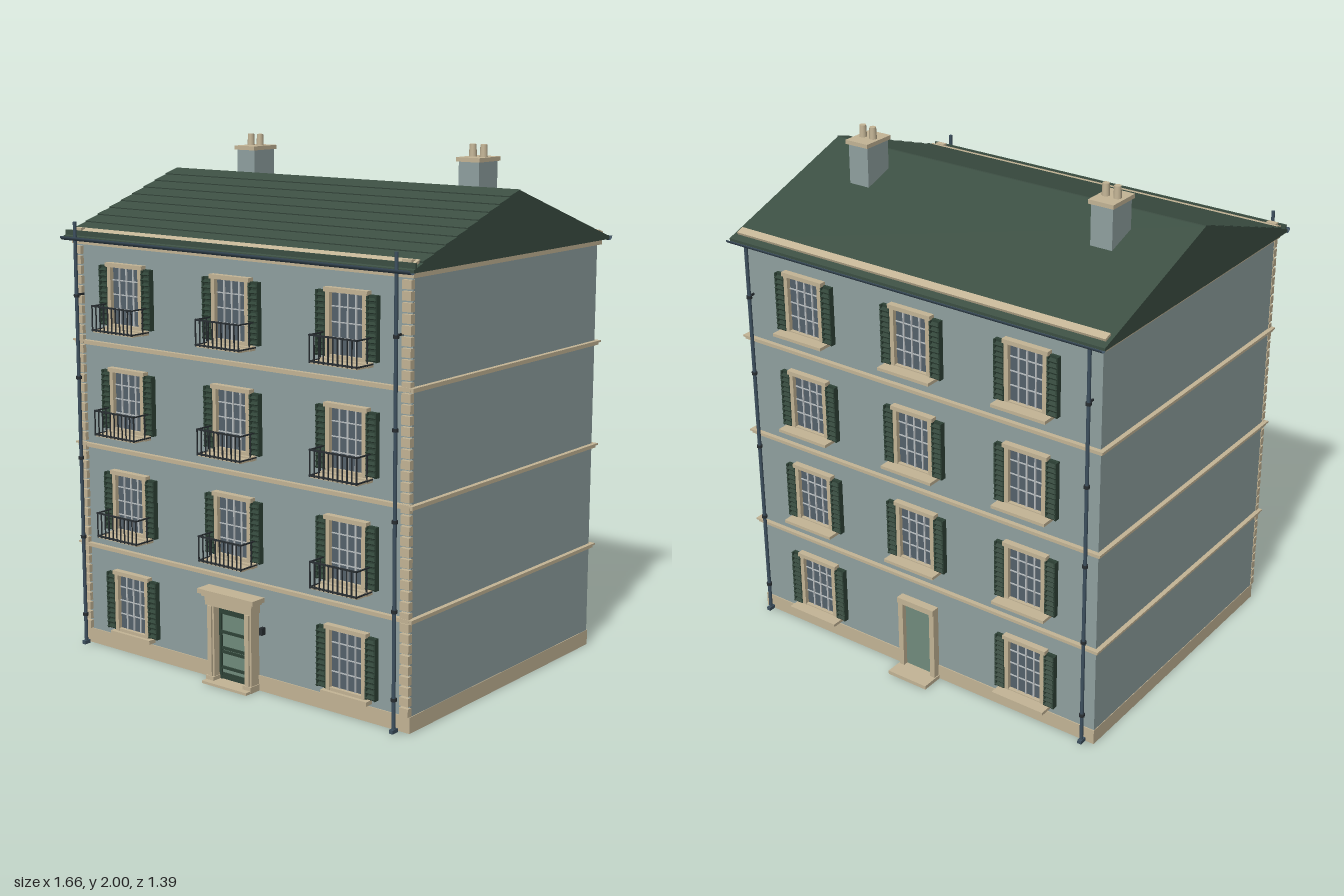
import * as THREE from 'three';

const mat = (name, color, side = THREE.FrontSide) => {
  const m = new THREE.MeshStandardMaterial({ color, side });
  m.name = name;
  return m;
};
const M = {
  wall: mat('wall blue grey', 0x90a1a0),
  stone: mat('cream stone', 0xc4b596),
  roof: mat('roof green', 0x3c4f43),
  shutter: mat('shutter green', 0x2f4337),
  iron: mat('dark iron', 0x292f33),
  gutter: mat('slate gutter', 0x3e5160, THREE.DoubleSide),
  glass: mat('window glass', 0x55626c),
  bar: mat('pale glazing bar', 0xb9bec0),
  door: mat('door green', 0x718c7d),
};

function add(parent, name, geo, material, x = 0, y = 0, z = 0) {
  const mesh = new THREE.Mesh(geo, material);
  mesh.name = name;
  mesh.position.set(x, y, z);
  parent.add(mesh);
  return mesh;
}
// Box given by its centre x, its bottom y and its back z
const box = (p, name, m, w, h, d, x, y, z) =>
  add(p, name, new THREE.BoxGeometry(w, h, d), m, x, y + h / 2, z + d / 2);

function group(parent, name, x, y, z, turn = 0) {
  const g = new THREE.Group();
  g.name = name;
  g.position.set(x, y, z);
  g.rotation.y = turn;
  parent.add(g);
  return g;
}

// Window with frame, glazing bars and a pair of louvred shutters; faces +z
function makeWindow(parent, name, x, y, z, turn) {
  const g = group(parent, name, x, y, z, turn);
  box(g, 'glass', M.glass, 0.16, 0.23, 0.005, 0, 0.022, 0);
  for (const s of [-1, 1]) {
    box(g, 'frameSide', M.stone, 0.017, 0.235, 0.022, s * 0.08, 0.018, 0);
    const sx = s * 0.111;
    box(g, 'shutterPanel', M.shutter, 0.044, 0.23, 0.012, sx, 0.02, 0);
    for (const e of [-1, 1]) box(g, 'shutterStile', M.shutter, 0.006, 0.23, 0.022, sx + e * 0.019, 0.02, 0);
    for (let i = 0; i < 11; i++) {
      const slat = box(g, 'shutterSlat', M.shutter, 0.042, 0.004, 0.018, sx, 0.028 + i * 0.0205, 0.008);
      slat.rotation.x = 0.5;
    }
  }
  box(g, 'frameTop', M.stone, 0.19, 0.016, 0.026, 0, 0.247, 0);
  box(g, 'frameBottom', M.stone, 0.16, 0.012, 0.02, 0, 0.016, 0);
  for (const bx of [-0.036, 0, 0.036]) box(g, 'glazingBar', M.bar, 0.006, 0.22, 0.009, bx, 0.027, 0.001);
  for (const by of [0.085, 0.14, 0.195]) box(g, 'crossBar', M.bar, 0.146, 0.004, 0.008, 0, by, 0.001);
  return g;
}

// Iron balcony railing on a thin slab
function makeBalcony(g) {
  box(g, 'balconySlab', M.stone, 0.208, 0.008, 0.088, 0, 0.002, 0);
  for (const y of [0.008, 0.1]) {
    box(g, 'frontRail', M.iron, 0.21, 0.006, 0.006, 0, y, 0.088);
    for (const s of [-1, 1]) box(g, 'sideRail', M.iron, 0.005, 0.005, 0.09, s * 0.103, y, 0);
  }
  for (let i = 0; i < 11; i++)
    box(g, 'baluster', M.iron, 0.004, 0.1, 0.004, -0.103 + i * 0.0206, 0.005, 0.089);
  for (const s of [-1, 1]) box(g, 'sideBaluster', M.iron, 0.004, 0.1, 0.004, s * 0.103, 0.005, 0.03);
}

function makeFrontDoor(house) {
  const g = group(house, 'frontDoor', 0, 0, 0.6);
  box(g, 'doorLeaf', M.door, 0.15, 0.3, 0.008, 0, 0.01, 0);
  box(g, 'transom', M.shutter, 0.15, 0.035, 0.016, 0, 0.267, 0);
  for (const y of [0.012, 0.05, 0.112, 0.127, 0.19]) box(g, 'doorRail', M.shutter, 0.14, 0.011, 0.014, 0, y, 0);
  box(g, 'kickPlate', M.shutter, 0.14, 0.025, 0.012, 0, 0.01, 0);
  for (const s of [-1, 1]) {
    box(g, 'doorStile', M.shutter, 0.011, 0.28, 0.016, s * 0.07, 0.01, 0);
    box(g, 'pilaster', M.stone, 0.034, 0.33, 0.045, s * 0.092, 0, 0);
    box(g, 'pilasterFace', M.stone, 0.018, 0.28, 0.052, s * 0.092, 0.02, 0);
    box(g, 'pilasterBase', M.stone, 0.04, 0.025, 0.054, s * 0.092, 0, 0);
  }
  box(g, 'lintel', M.stone, 0.23, 0.04, 0.05, 0, 0.302, 0);
  box(g, 'cornice', M.stone, 0.274, 0.018, 0.068, 0, 0.347, 0);
  box(g, 'corniceUnderside', M.stone, 0.25, 0.01, 0.06, 0, 0.337, 0);
  box(g, 'doorStep', M.stone, 0.22, 0.01, 0.078, 0, 0, 0);
  box(g, 'wallLamp', M.iron, 0.014, 0.028, 0.02, 0.136, 0.225, 0.004);
}

function makeBackDoor(house) {
  const g = group(house, 'backDoor', 0, 0, -0.6, Math.PI);
  box(g, 'doorLeaf', M.door, 0.13, 0.29, 0.01, 0, 0.01, 0);
  for (const s of [-1, 1]) box(g, 'doorJamb', M.stone, 0.022, 0.32, 0.03, s * 0.075, 0, 0);
  box(g, 'doorHead', M.stone, 0.172, 0.024, 0.034, 0, 0.3, 0);
  box(g, 'doorStep', M.stone, 0.18, 0.015, 0.095, 0, 0, 0);
}

function makeRoof(house) {
  const g = group(house, 'roof', 0, 0, 0);
  const slope = 0.343, angle = Math.atan(slope), top = 1.857;
  const shape = new THREE.Shape();
  [[-0.64, 1.627], [0.64, 1.627], [0.64, top - 0.64 * slope], [0, top], [-0.64, top - 0.64 * slope]]
    .forEach(([a, b], i) => (i ? shape.lineTo(a, b) : shape.moveTo(a, b)));
  const geo = new THREE.ExtrudeGeometry(shape, { depth: 1.66, bevelEnabled: false });
  geo.translate(0, 0, -0.83).rotateY(Math.PI / 2);
  add(g, 'roofBody', geo, M.roof);
  // Overlapping slate courses on the front slope
  for (let i = 0; i < 9; i++) {
    const z = 0.022 + 0.065 * (i + 0.5) - 0.022;
    const c = add(g, 'slateCourse', new THREE.BoxGeometry(1.66, 0.007, 0.072), M.roof, 0, top - z * slope + 0.001, z);
    c.rotation.x = angle - 0.06;
  }
  // Cream eaves strips, gutters
  for (const s of [-1, 1]) {
    const z = s * 0.597;
    const strip = add(g, 'eavesStrip', new THREE.BoxGeometry(1.63, 0.012, 0.033), M.stone, 0, top - 0.597 * slope + 0.004, z);
    strip.rotation.x = s * angle;
    const gut = new THREE.CylinderGeometry(0.016, 0.016, 1.66, 10, 1, true, Math.PI, Math.PI).rotateZ(Math.PI / 2);
    add(g, 'gutter', gut, M.gutter, 0, 1.638, s * 0.645);
  }
  box(g, 'frontFascia', M.roof, 1.66, 0.033, 0.008, 0, 1.627, 0.622);
  for (const s of [-1, 1]) box(g, 'eavesBlock', M.stone, 0.04, 0.028, 0.022, s * 0.782, 1.64, 0.592);
}

function makeChimney(house, x) {
  const g = group(house, 'chimney', x, 0, -0.16);
  box(g, 'stack', M.wall, 0.09, 0.24, 0.122, 0, 1.7, -0.061);
  box(g, 'cap', M.stone, 0.104, 0.016, 0.14, 0, 1.938, -0.07);
  for (const s of [-1, 1])
    add(g, 'pot', new THREE.CylinderGeometry(0.013, 0.015, 0.05, 12), M.stone, s * 0.024, 1.975, 0);
}

// Downpipe with brackets
function makePipe(house, x, z, top) {
  const g = group(house, 'downpipe', x, 0, z);
  add(g, 'pipe', new THREE.CylinderGeometry(0.007, 0.007, top - 0.015, 8), M.gutter, 0, (top + 0.015) / 2, 0);
  for (const y of [0.13, 0.45, 0.77, 1.09, 1.41])
    add(g, 'bracket', new THREE.CylinderGeometry(0.011, 0.011, 0.012, 8), M.iron, 0, y, 0);
  box(g, 'wallBracket', M.iron, 0.006, 0.008, 0.04, 0, 1.41, z > 0 ? -0.04 : 0);
  box(g, 'shoe', M.gutter, 0.016, 0.014, 0.03, 0, 0.008, -0.015);
}

export function createModel() {
  const house = new THREE.Group();
  house.name = 'townHouse';

  // Walls, plinth and floor bands
  box(house, 'walls', M.wall, 1.6, 1.575, 1.2, 0, 0.055, -0.6);
  box(house, 'plinth', M.stone, 1.604, 0.06, 1.208, 0, 0, -0.604);
  for (const y of [0.4, 0.806, 1.215]) {
    box(house, 'floorBand', M.stone, 1.624, 0.012, 1.224, 0, y + 0.003, -0.612);
    box(house, 'floorBandTop', M.stone, 1.636, 0.007, 1.236, 0, y + 0.013, -0.618);
  }
  box(house, 'topBand', M.stone, 1.624, 0.02, 1.23, 0, 1.607, -0.615);

  // Quoins on the front corners
  for (const s of [-1, 1])
    for (let i = 0; i < 40; i++)
      box(house, 'quoin', M.stone, 0.038, 0.031, 0.022, s * 0.784, 0.063 + i * 0.0386, 0.594);

  // Windows on both faces, with the doors in the middle of the ground floor
  [0.07, 0.475, 0.88, 1.285].forEach((y, row) => {
    for (const c of [-1, 0, 1]) {
      if (row === 0 && c === 0) continue;
      const f = makeWindow(house, 'frontWindow', c * 0.53, y, 0.6, 0);
      box(f, 'sill', M.stone, 0.21, 0.016, 0.034, 0, 0, 0);
      if (row > 0) makeBalcony(f);
      const b = makeWindow(house, 'backWindow', c * 0.5, y + 0.005, -0.6, Math.PI);
      box(b, 'sill', M.stone, 0.23, 0.012, 0.068, 0, 0.012, 0);
      box(b, 'sillSupport', M.stone, 0.18, 0.01, 0.045, 0, 0.002, 0);
    }
  });
  makeFrontDoor(house);
  makeBackDoor(house);

  makeRoof(house);
  for (const s of [-1, 1]) {
    makeChimney(house, s * 0.542);
    makePipe(house, s * 0.763, 0.645, 1.695);
    makePipe(house, s * 0.763, -0.627, 1.63);
  }
  return house;
}
